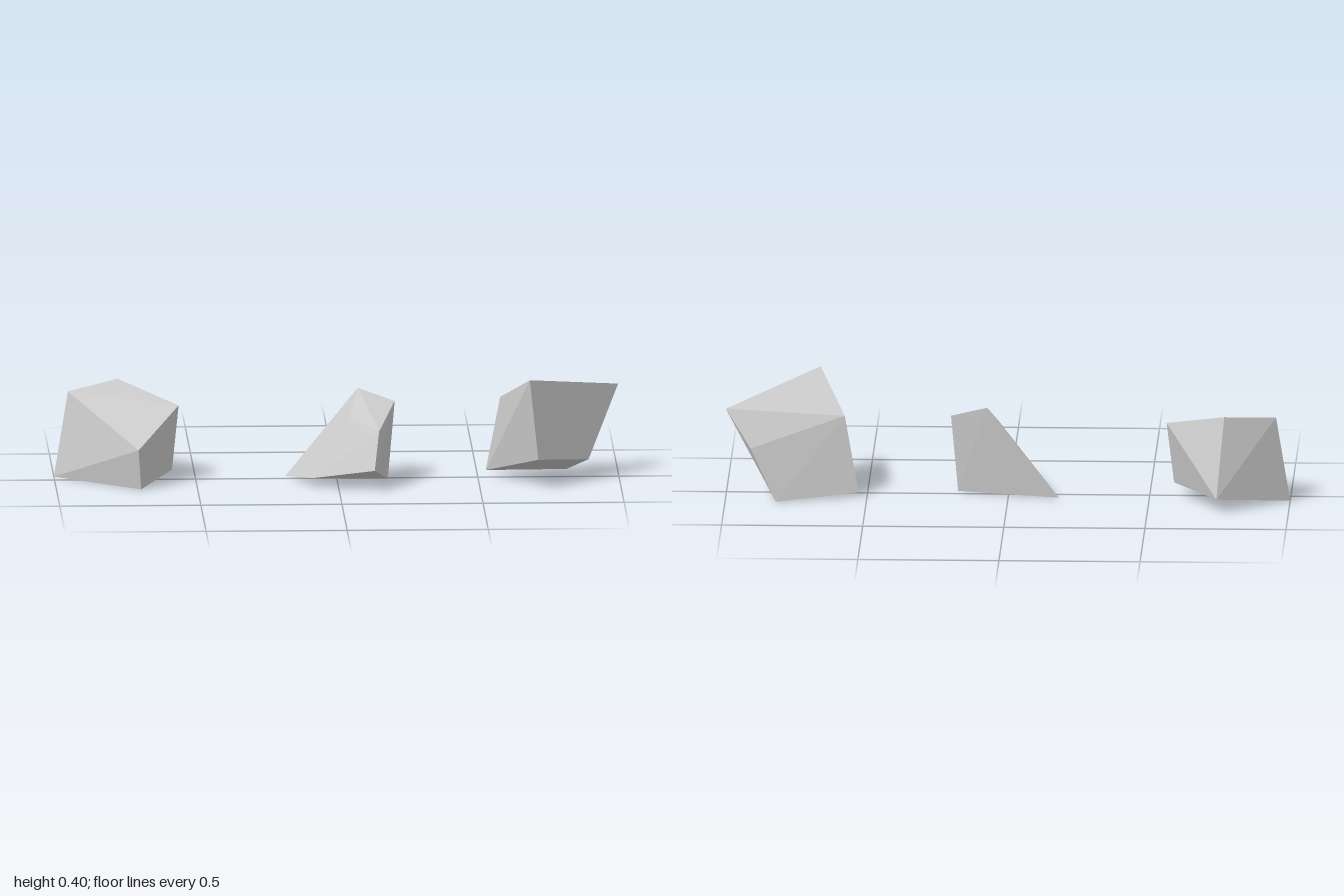
import * as THREE from 'three';
import { ConvexGeometry } from 'three/addons/geometries/ConvexGeometry.js';

// Each rock is an angular, six-sided block: four base corners, then four upper corners.
const rocks = {
  blockRock: [
    [-1, 0, -0.065], [-0.7, 0, 0.19], [-0.585, 0.04, 0.03], [-0.745, 0.05, -0.265],
    [-0.95, 0.305, -0.075], [-0.71, 0.145, 0.215], [-0.56, 0.265, -0.005], [-0.77, 0.33, -0.18],
  ],
  wedgeRock: [
    [-0.18, 0, -0.05], [-0.09, 0.033, 0.172], [0.125, 0.075, 0.265], [0.18, 0.003, 0.03],
    [0.075, 0.32, -0.025], [0.04, 0.24, 0.11], [0.143, 0.205, 0.2], [0.205, 0.28, 0.015],
  ],
  shardRock: [
    [0.53, 0.015, -0.055], [0.705, 0.108, 0.25], [0.89, 0.076, 0.073], [0.82, 0, -0.145],
    [0.58, 0.285, -0.02], [0.675, 0.397, 0.26], [1, 0.32, -0.072], [0.91, 0.19, -0.13],
  ],
};

export function createModel() {
  const group = new THREE.Group();
  group.name = 'rocks';
  const stone = new THREE.MeshStandardMaterial({ color: 0xcccccc, flatShading: true });

  for (const [name, corners] of Object.entries(rocks)) {
    const points = corners.map((c) => new THREE.Vector3(...c));
    const rock = new THREE.Mesh(new ConvexGeometry(points), stone);
    rock.name = name;
    group.add(rock);
  }
  return group;
}
